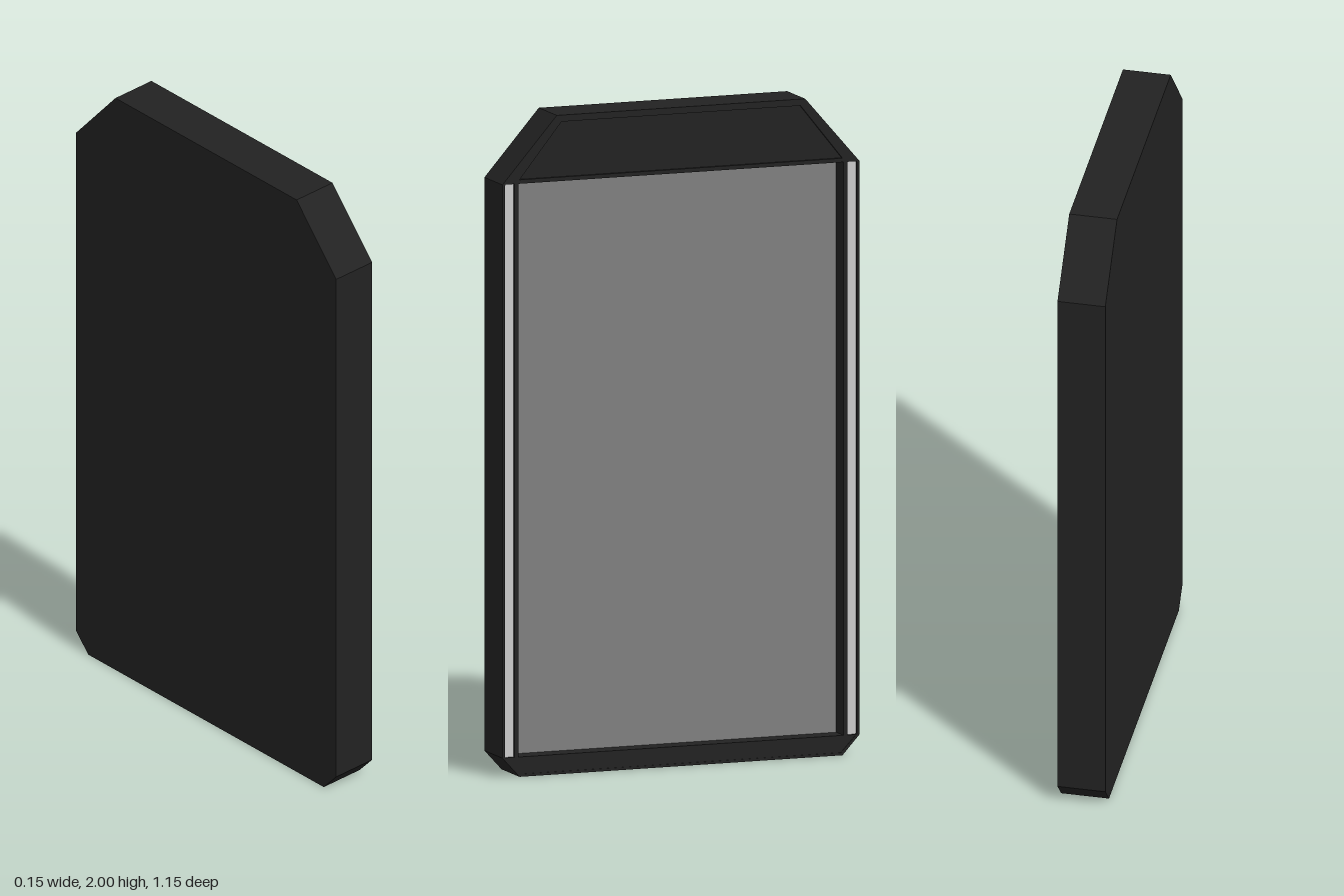
import * as THREE from 'three';

const BACK = -0.073, FRONT = 0.073, SCREEN = 0.012;

const dark = new THREE.MeshStandardMaterial({ color: 0x222222, flatShading: true });
const glass = new THREE.MeshStandardMaterial({ color: 0x808080, flatShading: true });
const light = new THREE.MeshStandardMaterial({ color: 0xcccccc, flatShading: true });

// symmetric outline from its half points [halfWidth, y], listed from the bottom up
function outline(half) {
  const right = half.map(([w, y]) => new THREE.Vector2(w, y));
  const left = half.map(([w, y]) => new THREE.Vector2(-w, y)).reverse();
  return [...right, ...left];
}

// flat piece drawn in the width/height plane, reaching from x0 to x1
function slab(name, points, x0, x1, material, hole) {
  const shape = new THREE.Shape(points);
  if (hole) shape.holes.push(new THREE.Path(hole));
  const geometry = new THREE.ExtrudeGeometry(shape, { depth: x1 - x0, bevelEnabled: false });
  geometry.rotateY(Math.PI / 2).translate(x0, 0, 0);
  const mesh = new THREE.Mesh(geometry, material);
  mesh.name = name;
  return mesh;
}

function box(name, x0, x1, y0, y1, z, depth, material) {
  const mesh = new THREE.Mesh(new THREE.BoxGeometry(x1 - x0, y1 - y0, depth), material);
  mesh.position.set((x0 + x1) / 2, (y0 + y1) / 2, z);
  mesh.name = name;
  return mesh;
}

export function createModel() {
  const model = new THREE.Group();
  model.name = 'panelDevice';

  // casing with chamfered corners and a thin raised rim
  const outer = outline([[0.52, 0], [0.575, 0.06], [0.575, 1.8], [0.4, 2]]);
  const inner = outline([[0.515, 0.008], [0.567, 0.063], [0.567, 1.797], [0.396, 1.992]]);
  model.add(slab('casing', outer, BACK, SCREEN - 0.004, dark));
  model.add(slab('rim', outer, SCREEN - 0.004, FRONT, dark, inner));

  // recessed screen
  model.add(box('screen', SCREEN - 0.01, SCREEN, 0.06, 1.8, 0, 1.06, glass));

  // covers above and below the screen, with a raised lip on the top one
  const top = outline([[0.567, 1.8], [0.396, 1.992]]);
  const topInset = outline([[0.52, 1.812], [0.385, 1.98]]);
  model.add(slab('topCover', top, SCREEN - 0.004, FRONT - 0.008, dark));
  model.add(slab('topCoverLip', top, FRONT - 0.008, FRONT, dark, topInset));
  model.add(slab('bottomCover', outline([[0.515, 0.008], [0.565, 0.06]]), SCREEN - 0.004, FRONT - 0.002, dark));

  // light strips and inner frame on both sides of the screen
  for (const side of [1, -1]) {
    model.add(box('lightStrip', SCREEN - 0.004, FRONT - 0.01, 0.06, 1.8, side * 0.552, 0.032, light));
    model.add(box('innerFrame', SCREEN - 0.004, FRONT, 0.06, 1.8, side * 0.53, 0.012, dark));
  }
  return model;
}
